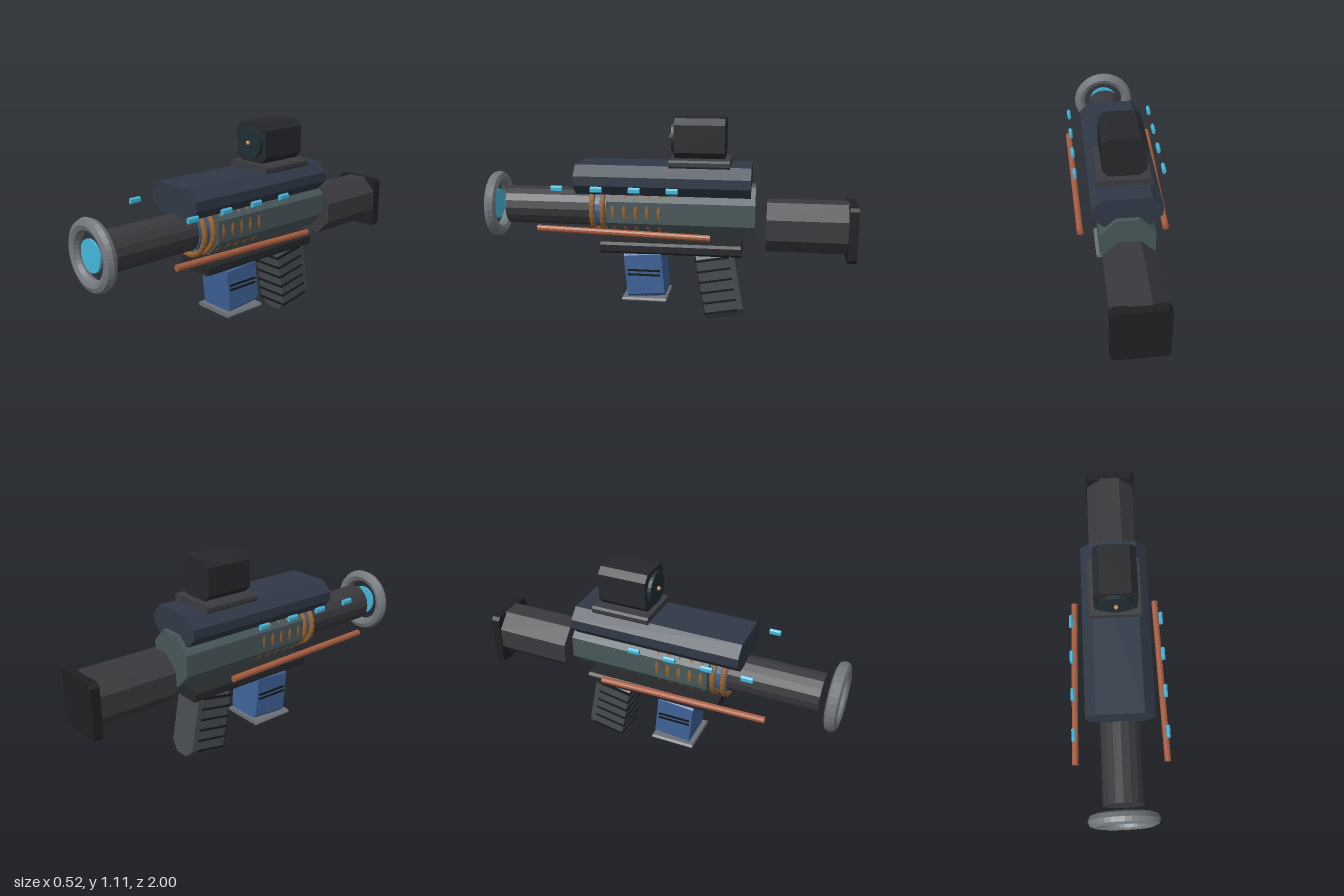
import * as THREE from 'three';

const AXIS_Y = 0.62; // height of the bore line

export function createModel() {
  const model = new THREE.Group();

  const add = (name, geo, color, x, y, z, parent = model) => {
    const mesh = new THREE.Mesh(geo, new THREE.MeshStandardMaterial({ color, flatShading: true }));
    mesh.name = name;
    mesh.position.set(x, y, z);
    parent.add(mesh);
    return mesh;
  };

  // Box of width w, height h, length d along z, with its long edges cut by c at the top and b at the bottom
  const prism = (w, h, d, c, b = c) => {
    const x = w / 2, y = h / 2;
    const pts = [[-x + b, -y], [x - b, -y], [x, -y + b], [x, y - c], [x - c, y], [-x + c, y], [-x, y - c], [-x, -y + b]];
    const shape = new THREE.Shape(pts.map(p => new THREE.Vector2(...p)));
    return new THREE.ExtrudeGeometry(shape, { depth: d, bevelEnabled: false }).translate(0, 0, -d / 2);
  };
  const octagon = (w, d) => prism(w, w, d, w * 0.293);
  const rod = (r, d, sides) => new THREE.CylinderGeometry(r, r, d, sides).rotateX(Math.PI / 2);

  // Body and barrel
  add('receiver', octagon(0.28, 0.79), 0x48575a, 0, AXIS_Y, -0.075);
  add('barrel', rod(0.105, 0.6, 16), 0x3a3a3e, 0, AXIS_Y, 0.595);
  add('coilCore', rod(0.111, 0.1, 20), 0x3c5f92, 0, AXIS_Y, 0.365);
  add('muzzleRing', new THREE.TorusGeometry(0.15, 0.033, 8, 32), 0x73787d, 0, AXIS_Y, 0.967);
  add('muzzleLens', rod(0.082, 0.012, 28), 0x44b8dc, 0, AXIS_Y, 0.972);

  // Copper coils: two full ones, five sunk into the receiver
  for (const z of [0.402, 0.345])
    add('coil', new THREE.TorusGeometry(0.13, 0.015, 8, 28), 0x94622e, 0, AXIS_Y, z);
  for (let i = 0; i < 5; i++)
    add('sunkenCoil', new THREE.TorusGeometry(0.133, 0.013, 8, 28), 0x94622e, 0, AXIS_Y, 0.285 - i * 0.062);

  // Upper housing and lower rail
  add('upperHousing', prism(0.35, 0.16, 0.935, 0.055), 0x303947, 0, 0.792, 0.022);
  add('lowerRail', prism(0.225, 0.062, 0.765, 0.014), 0x25272a, 0, 0.415, -0.018);

  // Sight
  add('sightMount', prism(0.28, 0.042, 0.32, 0.011), 0x3a3c3f, 0, 0.885, -0.175);
  add('sightBody', prism(0.22, 0.21, 0.265, 0.033), 0x26282b, 0, 1.015, -0.172);
  add('sightLens', rod(0.087, 0.03, 28), 0x1f2e34, 0, 1.015, -0.035);
  add('sightDot', new THREE.SphereGeometry(0.012, 10, 8), 0xc98244, 0, 1.015, -0.013);

  // Stock
  add('stock', octagon(0.266, 0.43), 0x3a3a3e, 0, 0.548, -0.745);
  add('buttPad', prism(0.28, 0.295, 0.048, 0.018), 0x1f2022, 0, 0.532, -0.976);

  // Magazine
  const magazine = new THREE.Group();
  magazine.name = 'magazine';
  magazine.position.set(0, 0.27, 0.123);
  magazine.rotation.x = 0.09;
  model.add(magazine);
  add('magazineBody', prism(0.21, 0.26, 0.206, 0.02), 0x3e6298, 0, 0, 0, magazine);
  for (const y of [0.293, 0.268])
    add('magazineRib', new THREE.BoxGeometry(0.222, 0.01, 0.18), 0x141618, 0, y, 0.125);
  add('magazineBase', prism(0.256, 0.022, 0.242, 0.009), 0x6a7076, 0, 0.129, 0.122);

  // Grip with raised ribs
  const grip = new THREE.Group();
  grip.name = 'grip';
  grip.position.set(0, 0.21, -0.29);
  grip.rotation.x = 0.18;
  model.add(grip);
  add('gripBody', prism(0.18, 0.375, 0.208, 0.03, 0.048), 0x464b4e, 0, 0, 0, grip);
  for (let i = 0; i < 6; i++)
    add('gripRib', new THREE.BoxGeometry(0.188, 0.011, 0.186), 0x17191b, 0, 0.16 - i * 0.06, 0.018, grip);

  // Side rods and floating lights, mirrored
  for (const s of [1, -1]) {
    const a = new THREE.Vector3(s * 0.241, 0.548, 0.668), b = new THREE.Vector3(s * 0.226, 0.519, -0.245);
    const side = add('sideRod', rod(0.0175, a.distanceTo(b), 10), 0xa65c40, 0, 0, 0);
    side.position.copy(a).add(b).multiplyScalar(0.5);
    side.lookAt(a);
    for (const z of [0.56, 0.35, 0.15, -0.047])
      add('sideLight', prism(0.02, 0.033, 0.06, 0.008), 0x44b8dc, s * 0.236, 0.76, z);
  }

  return model;
}
